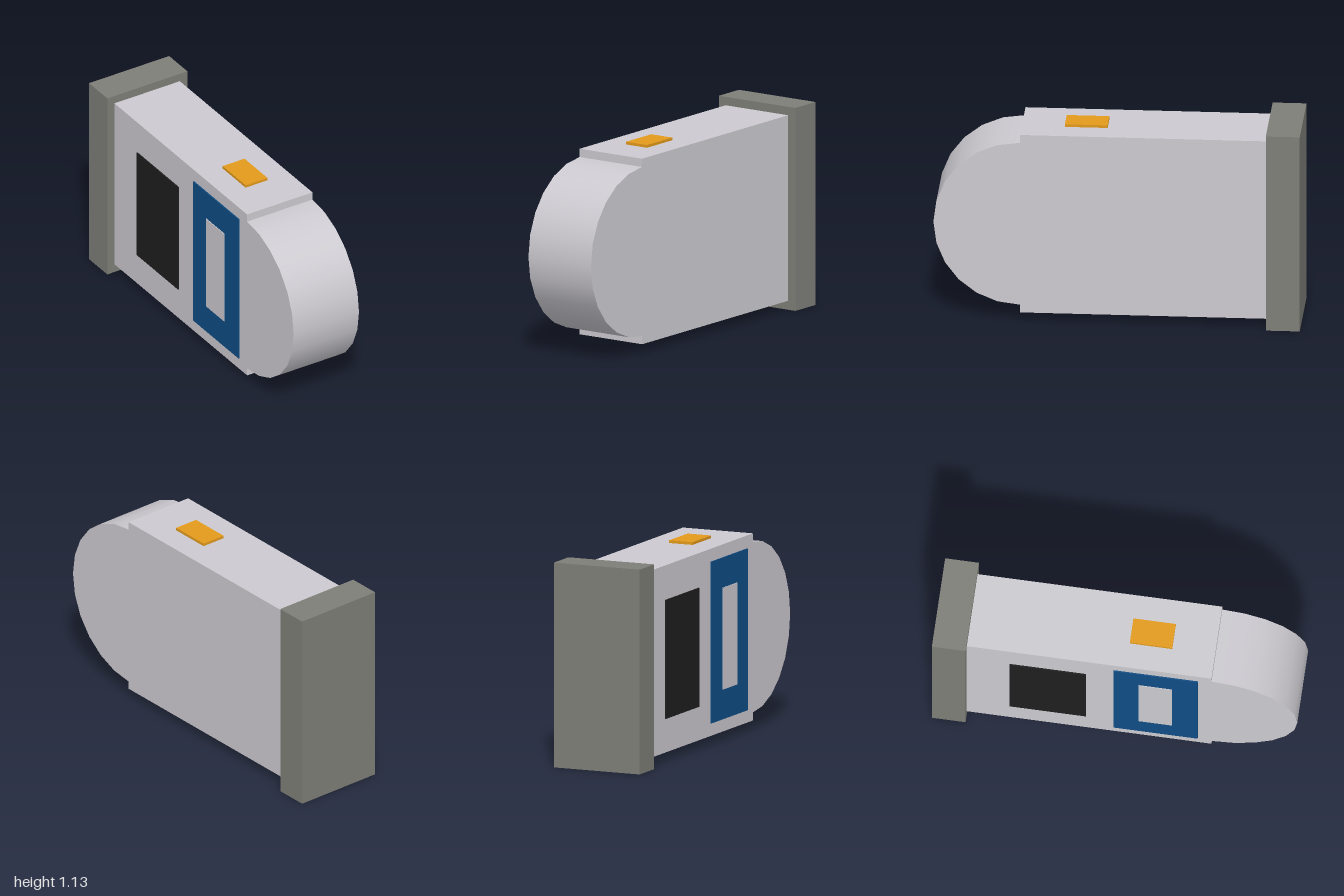
import * as THREE from 'three';

const mat = (color) => new THREE.MeshStandardMaterial({ color });

export function createModel() {
  const group = new THREE.Group();
  const shell = mat(0xcccad0), capMat = mat(0x7e7e78), orange = mat(0xe29a1b);
  const blue = mat(0x0e4d85), black = mat(0x1e1e1e);

  // Box given by its minimum and maximum corners
  const box = (name, material, [x0, y0, z0], [x1, y1, z1]) => {
    const mesh = new THREE.Mesh(new THREE.BoxGeometry(x1 - x0, y1 - y0, z1 - z0), material);
    mesh.position.set((x0 + x1) / 2, (y0 + y1) / 2, (z0 + z1) / 2);
    mesh.name = name;
    group.add(mesh);
  };

  // Main housing and the wider rear cap
  box('body', shell, [-0.212, 0.05, -0.815], [0.209, 1.083, 0.528]);
  box('rearCap', capMat, [-0.258, 0, -1], [0.258, 1.13, -0.815]);

  // Rounded nose: half a cylinder lying across the front
  const noseGeometry = new THREE.CylinderGeometry(0.471, 0.471, 0.421, 12, 1, false, -Math.PI / 2, Math.PI);
  noseGeometry.rotateZ(Math.PI / 2);
  const nose = new THREE.Mesh(noseGeometry, shell);
  nose.name = 'nose';
  nose.position.set(-0.0015, 0.566, 0.528);
  group.add(nose);

  // Small pads above and below
  box('topPad', orange, [-0.072, 1.08, 0.06], [0.069, 1.098, 0.293]);
  box('bottomPad', orange, [-0.072, 0.035, 0.06], [0.069, 0.053, 0.293]);

  // Thin panels on the right side
  box('darkPanel', black, [-0.219, 0.237, -0.58], [-0.21, 0.893, -0.16]);
  box('bluePanel', blue, [-0.219, 0.12, -0.01], [-0.21, 1.012, 0.453]);
  box('panelWindow', shell, [-0.223, 0.285, 0.128], [-0.21, 0.847, 0.312]);

  return group;
}
